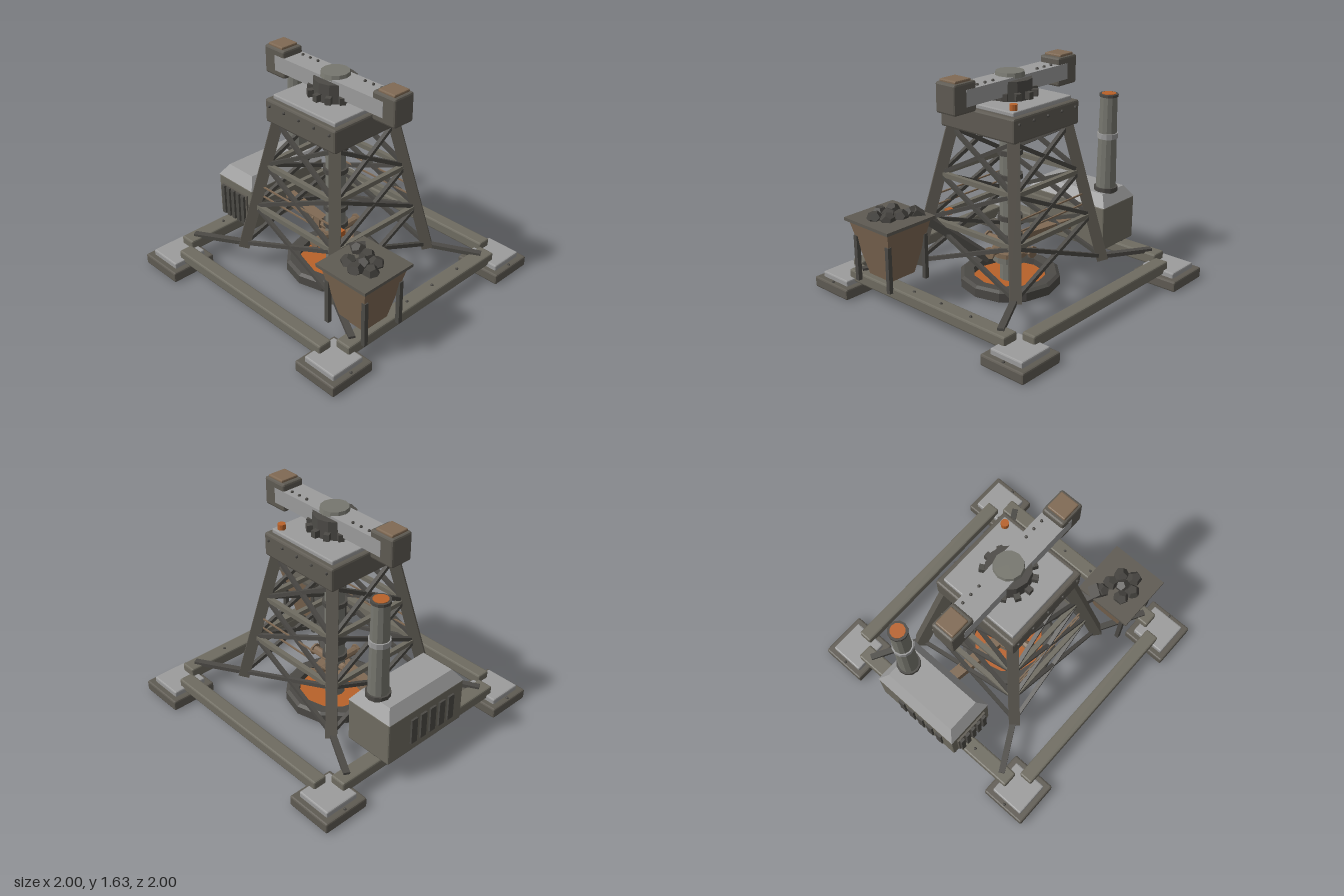
import * as THREE from 'three';
import { RoundedBoxGeometry } from 'three/addons/geometries/RoundedBoxGeometry.js';

const paint = (color, extra = {}) => new THREE.MeshStandardMaterial({ color, flatShading: true, ...extra });
const M = {
  frame: paint(0x6f6c61), dark: paint(0x4c4a46), block: paint(0x5f5b53), light: paint(0x9c9c9c),
  steel: paint(0x77776f), brown: paint(0x806a54), orange: paint(0xb8622a), rock: paint(0x45433f),
};
const V = (x, y, z) => new THREE.Vector3(x, y, z);

export function createModel() {
  const root = new THREE.Group();
  let parent = root;
  const section = (name) => {
    parent = new THREE.Group();
    parent.name = name;
    root.add(parent);
  };
  const add = (name, geo, mat, x = 0, y = 0, z = 0) => {
    const m = new THREE.Mesh(geo, mat);
    m.name = name;
    m.position.set(x, y, z);
    parent.add(m);
    return m;
  };
  // box given by its extents
  const box = (name, mat, x0, x1, y0, y1, z0, z1, r = 0) => {
    const s = [x1 - x0, y1 - y0, z1 - z0];
    const geo = r ? new RoundedBoxGeometry(...s, 1, r) : new THREE.BoxGeometry(...s);
    return add(name, geo, mat, (x0 + x1) / 2, (y0 + y1) / 2, (z0 + z1) / 2);
  };
  // upright cylinder between two heights
  const cyl = (name, mat, x, z, y0, y1, r0, r1 = r0, n = 12) =>
    add(name, new THREE.CylinderGeometry(r1, r0, y1 - y0, n), mat, x, (y0 + y1) / 2, z);
  // square bar from a to b
  const bar = (name, mat, a, b, w, h = w) => {
    const m = add(name, new THREE.BoxGeometry(w, h, a.distanceTo(b)), mat);
    m.position.copy(a).lerp(b, 0.5);
    m.lookAt(b);
    return m;
  };
  // square frustum, base and top half sizes
  const frustum = (name, mat, x, y0, y1, z, bx, bz, tx, tz) => {
    const geo = new THREE.BoxGeometry(2, y1 - y0, 2), p = geo.attributes.position;
    for (let i = 0; i < p.count; i++) {
      const top = p.getY(i) > 0;
      p.setX(i, p.getX(i) * (top ? tx : bx));
      p.setZ(i, p.getZ(i) * (top ? tz : bz));
    }
    geo.computeVertexNormals();
    return add(name, geo, mat, x, (y0 + y1) / 2, z);
  };
  const bolt = (x, y, z) => add('bolt', new THREE.SphereGeometry(0.012, 6, 4), M.dark, x, y, z);
  const corners = [[-1, -1], [1, -1], [1, 1], [-1, 1]];

  // Ground frame: corner pads and four beams
  section('groundFrame');
  for (const [sx, sz] of corners) {
    add('footPad', new RoundedBoxGeometry(0.355, 0.08, 0.355, 1, 0.012), M.block, sx * 0.822, 0.04, sz * 0.822);
    add('footPlate', new RoundedBoxGeometry(0.265, 0.05, 0.265, 1, 0.01), M.light, sx * 0.822, 0.095, sz * 0.822);
    bolt(sx * 0.975, 0.08, sz * 0.82);
  }
  for (const s of [-1, 1]) {
    add('crossBeam', new RoundedBoxGeometry(1.49, 0.085, 0.105, 1, 0.012), M.frame, 0, 0.133, s * 0.82);
    add('sideBeam', new RoundedBoxGeometry(0.12, 0.085, 1.49, 1, 0.012), M.frame, s * 0.823, 0.135, 0);
    for (const z of [-0.4, -0.13, 0.13, 0.4]) bolt(s * 0.823, 0.178, z);
  }

  // Tower: leaning legs, horizontal rails and cross bracing
  section('tower');
  const legAt = (y) => 0.475 - (y - 0.18) * 0.19;
  const levels = [0.19, 0.52, 0.855, 1.19];
  corners.forEach(([sx, sz], i) => {
    const at = (c, y) => V(c[0] * legAt(y), y, c[1] * legAt(y));
    const here = corners[i], next = corners[(i + 1) % 4];
    bar('towerLeg', M.block, at(here, 0.17), at(here, 1.22), 0.08);
    bar('anchorStrut', M.dark, V(sx * 0.83, 0.18, sz * 0.665), V(sx * 0.46, 0.19, sz * 0.46), 0.045, 0.03);
    for (let k = 0; k < 3; k++) {
      bar('crossBrace', M.dark, at(here, levels[k]), at(next, levels[k + 1]), 0.028);
      bar('crossBrace', M.dark, at(next, levels[k]), at(here, levels[k + 1]), 0.028);
      if (k) bar('rail', M.frame, at(here, levels[k]), at(next, levels[k]), 0.035);
    }
  });
  for (const s of [-1, 1])
    for (const y of [0.61, 0.69]) box('thinPipe', M.brown, -0.4, 0.4, y - 0.005, y + 0.005, s * 0.385 - 0.005, s * 0.385 + 0.005);

  // Drill: open ring, glowing disc, hub and shaft
  section('drill');
  const ring = [[0.27, 0.005], [0.345, 0], [0.37, 0.015], [0.37, 0.08], [0.345, 0.095], [0.27, 0.09], [0.27, 0.005]];
  add('drillRing', new THREE.LatheGeometry(ring.map((p) => new THREE.Vector2(...p)), 12), M.dark);
  cyl('glowDisc', M.orange, 0, 0, 0.015, 0.04, 0.272, 0.272, 24);
  cyl('shaft', M.steel, 0, 0, 0.04, 1.22, 0.075);
  cyl('hubBase', M.steel, 0, 0, 0.19, 0.235, 0.13);
  cyl('hub', M.brown, 0, 0, 0.235, 0.27, 0.135);
  for (const y of [0.38, 0.52, 0.83, 1.01]) cyl('shaftCollar', M.dark, 0, 0, y - 0.018, y + 0.018, 0.092);
  for (let i = 0; i < 4; i++) {
    const a = i * Math.PI / 2, c = Math.cos(a), s = Math.sin(a);
    for (const [name, r, len, d] of [['nozzle', 0.03, 0.17, 0.13], ['nozzleFlange', 0.045, 0.015, 0.215]]) {
      const m = add(name, new THREE.CylinderGeometry(r, r, len, 8), M.brown, c * d, 0.3, s * d);
      m.quaternion.setFromUnitVectors(V(0, 1, 0), V(c, 0, s));
    }
  }
  bar('feedDuct', M.brown, V(-0.59, 0.31, -0.07), V(-0.13, 0.31, 0), 0.08);

  // Head: box, deck plate and beacon
  section('head');
  box('headBox', M.block, -0.338, 0.338, 1.2, 1.375, -0.338, 0.338, 0.015);
  box('deckPlate', M.light, -0.3, 0.3, 1.37, 1.405, -0.3, 0.3, 0.008);
  for (const s of [-1, 1]) for (const x of [-0.29, -0.145, 0, 0.145, 0.29]) bolt(x, 1.33, s * 0.341);
  cyl('beacon', M.orange, 0.25, -0.255, 1.4, 1.445, 0.028);

  // Gear and counterweight beam
  section('rotor');
  cyl('gearBody', M.dark, 0, 0, 1.405, 1.54, 0.16, 0.155);
  for (let i = 0; i < 12; i++) {
    const a = i * Math.PI / 6;
    const t = add('gearTooth', new THREE.BoxGeometry(0.05, 0.05, 0.04), M.dark, Math.cos(a) * 0.17, 1.44, -Math.sin(a) * 0.17);
    t.rotation.y = a;
  }
  box('rotorBeam', M.light, -0.515, 0.515, 1.445, 1.56, -0.09, 0.09);
  cyl('gearCap', M.steel, 0, 0, 1.55, 1.585, 0.108, 0.1);
  for (const s of [-1, 1]) {
    add('counterweight', new RoundedBoxGeometry(0.2, 0.21, 0.177, 1, 0.015), M.block, s * 0.52, 1.505, 0);
    add('counterweightCap', new RoundedBoxGeometry(0.145, 0.03, 0.145, 1, 0.008), M.brown, s * 0.525, 1.612, 0);
    for (const x of [0.225, 0.3, 0.375]) bolt(s * x, 1.564, -0.05);
  }

  // Engine house: body, hipped roof, grilles and chimney
  section('engineHouse');
  box('engineBody', M.frame, -0.953, -0.572, 0.175, 0.515, -0.41, 0.31, 0.012);
  frustum('engineRoof', M.light, -0.7625, 0.51, 0.595, -0.05, 0.191, 0.36, 0.13, 0.3);
  box('frontGrille', M.block, -0.905, -0.62, 0.21, 0.455, 0.305, 0.325);
  for (let i = 0; i < 5; i++) {
    const x = -0.875 + i * 0.056, z = -0.18 + i * 0.09;
    box('frontSlat', M.dark, x - 0.017, x + 0.017, 0.21, 0.45, 0.32, 0.345);
    box('sideSlat', M.dark, -0.968, -0.945, 0.25, 0.45, z - 0.027, z + 0.027);
  }
  const [cx, cz] = [-0.737, -0.3];
  cyl('chimney', M.steel, cx, cz, 0.58, 1.32, 0.075, 0.062);
  cyl('chimneyBase', M.dark, cx, cz, 0.59, 0.625, 0.088);
  cyl('chimneyBand', M.light, cx, cz, 1.0, 1.04, 0.077);
  cyl('chimneyLip', M.dark, cx, cz, 1.312, 1.332, 0.07);
  cyl('chimneyGlow', M.orange, cx, cz, 1.325, 1.336, 0.053);

  // Hopper with rocks, legs and feed conveyor
  section('hopper');
  const [hx, hz] = [0.73, 0.458];
  frustum('hopperBin', M.brown, hx, 0.185, 0.595, hz, 0.11, 0.11, 0.2, 0.2);
  box('hopperRim', M.block, hx - 0.221, hx + 0.221, 0.59, 0.613, hz - 0.223, hz + 0.223);
  for (const [sx, sz] of corners) box('hopperLeg', M.dark, hx + sx * 0.167 - 0.016, hx + sx * 0.167 + 0.016,
    0.14, 0.48, hz + sz * 0.163 - 0.016, hz + sz * 0.163 + 0.016);
  const rocks = [[0.6, 0.38], [0.69, 0.39], [0.79, 0.41], [0.65, 0.52], [0.74, 0.55], [0.83, 0.5], [0.73, 0.47]];
  rocks.forEach(([x, z], i) => {
    const r = add('rock', new THREE.DodecahedronGeometry(0.058), M.rock, x, 0.615, z);
    r.rotation.set(i * 1.3, i * 0.7, i * 2.1);
  });
  bar('conveyor', M.dark, V(0.16, 0.23, 0.07), V(0.59, 0.64, 0.37), 0.1, 0.055);
  box('warningLamp', M.orange, 0.31, 0.36, 0.56, 0.6, 0.26, 0.3);

  return root;
}
